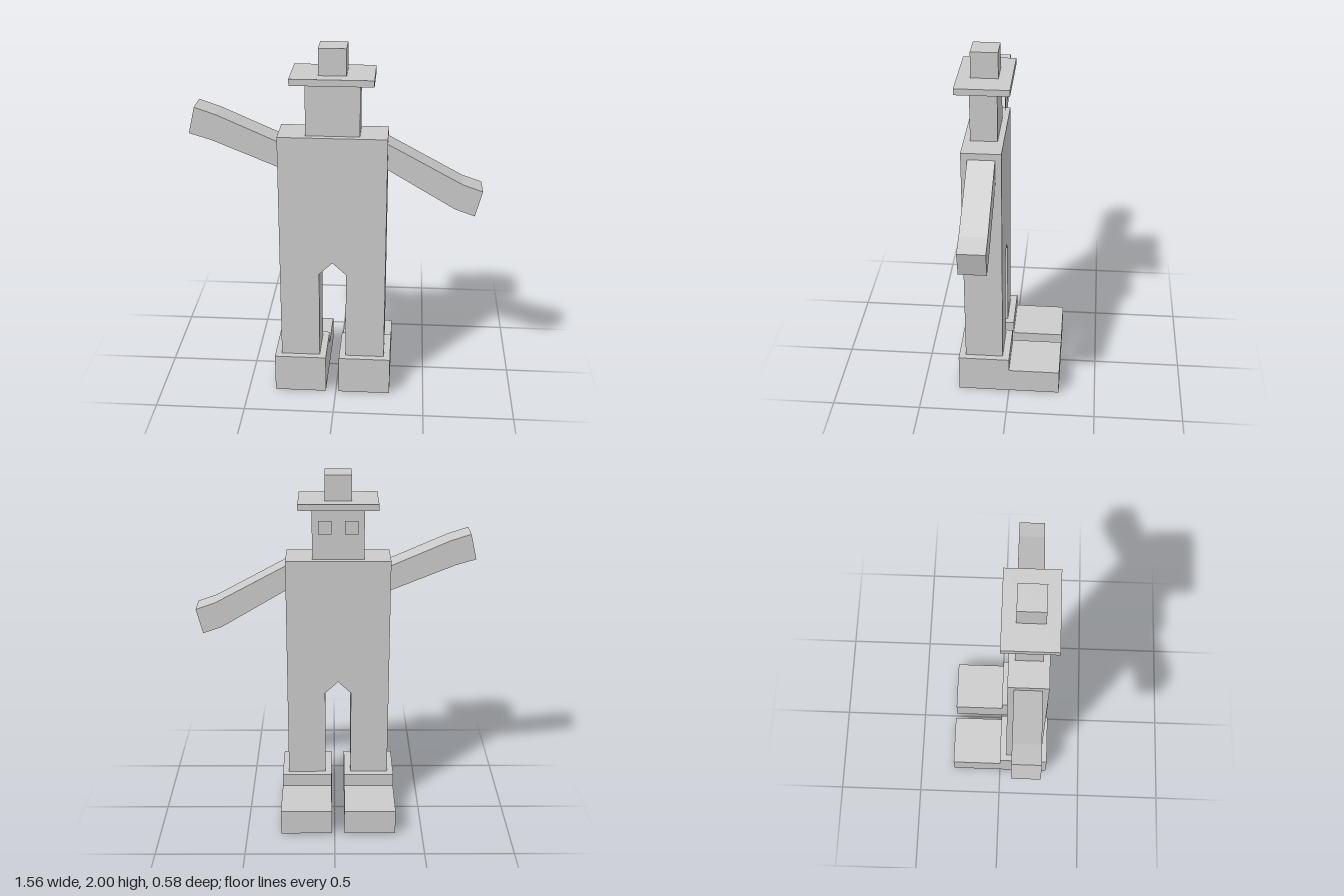
import * as THREE from 'three';

const CX = -0.02;  // middle of the body
const CZ = 0.145;  // depth middle of head, hat and arms

export function createModel() {
  const model = new THREE.Group();
  model.name = 'blockFigure';
  const grey = new THREE.MeshStandardMaterial({ color: 0xcccccc, flatShading: true });
  const thin = new THREE.MeshStandardMaterial({ color: 0xcccccc, side: THREE.DoubleSide });

  const add = (name, geometry, material = grey) => {
    const mesh = new THREE.Mesh(geometry, material);
    mesh.name = name;
    model.add(mesh);
    return mesh;
  };
  // straight-sided slab from an outline, starting at the given depth
  const slab = (points, depth, start = 0) => new THREE.ExtrudeGeometry(
    new THREE.Shape(points.map(([x, y]) => new THREE.Vector2(x, y))),
    { depth, bevelEnabled: false }).translate(0, 0, start);
  // box on the centre line, from y0 to y1
  const block = (name, w, y0, y1, d) =>
    add(name, new THREE.BoxGeometry(w, y1 - y0, d).translate(CX, (y0 + y1) / 2, CZ));

  // torso and legs in one piece, with a pointed gap between the legs
  const half = [[0.074, 0.735], [0.074, 0.22], [0.291, 0.22], [0.291, 1.53]];
  const outline = [[CX, 0.805], ...half.map(([x, y]) => [CX + x, y]),
    ...half.slice().reverse().map(([x, y]) => [CX - x, y])];
  add('torsoAndLegs', slab(outline, 0.214, 0.039));

  // head and hat
  block('head', 0.288, 1.53, 1.822, 0.146);
  block('hatBrim', 0.437, 1.822, 1.857, 0.29);
  block('hatCrown', 0.146, 1.857, 2, 0.146);

  // arms: one lowered, one raised, each bent near the hand
  add('leftArm', slab([[0.271, 1.35], [0.637, 1.132], [0.743, 1.095],
    [0.779, 1.238], [0.672, 1.275], [0.271, 1.493]], 0.146, 0.072));
  add('rightArm', slab([[-0.311, 1.35], [-0.311, 1.493], [-0.632, 1.635],
    [-0.746, 1.673], [-0.78, 1.53], [-0.664, 1.495]], 0.146, 0.072));

  for (const [side, s] of [['left', 1], ['right', -1]]) {
    // stepped shoe, toe towards -z
    const shoe = add(side + 'Shoe', slab([[-0.291, 0], [0.291, 0], [0.291, 0.145],
      [0, 0.145], [0, 0.22], [-0.291, 0.22]], 0.29, -0.145));
    shoe.rotation.y = Math.PI / 2;
    shoe.position.x = CX + s * 0.182;

    // flat eye plate just off the face
    const eye = add(side + 'Eye', new THREE.PlaneGeometry(0.073, 0.073), thin);
    eye.rotation.y = Math.PI;
    eye.position.set(CX + s * 0.072, 1.72, 0.036);
  }
  return model;
}
